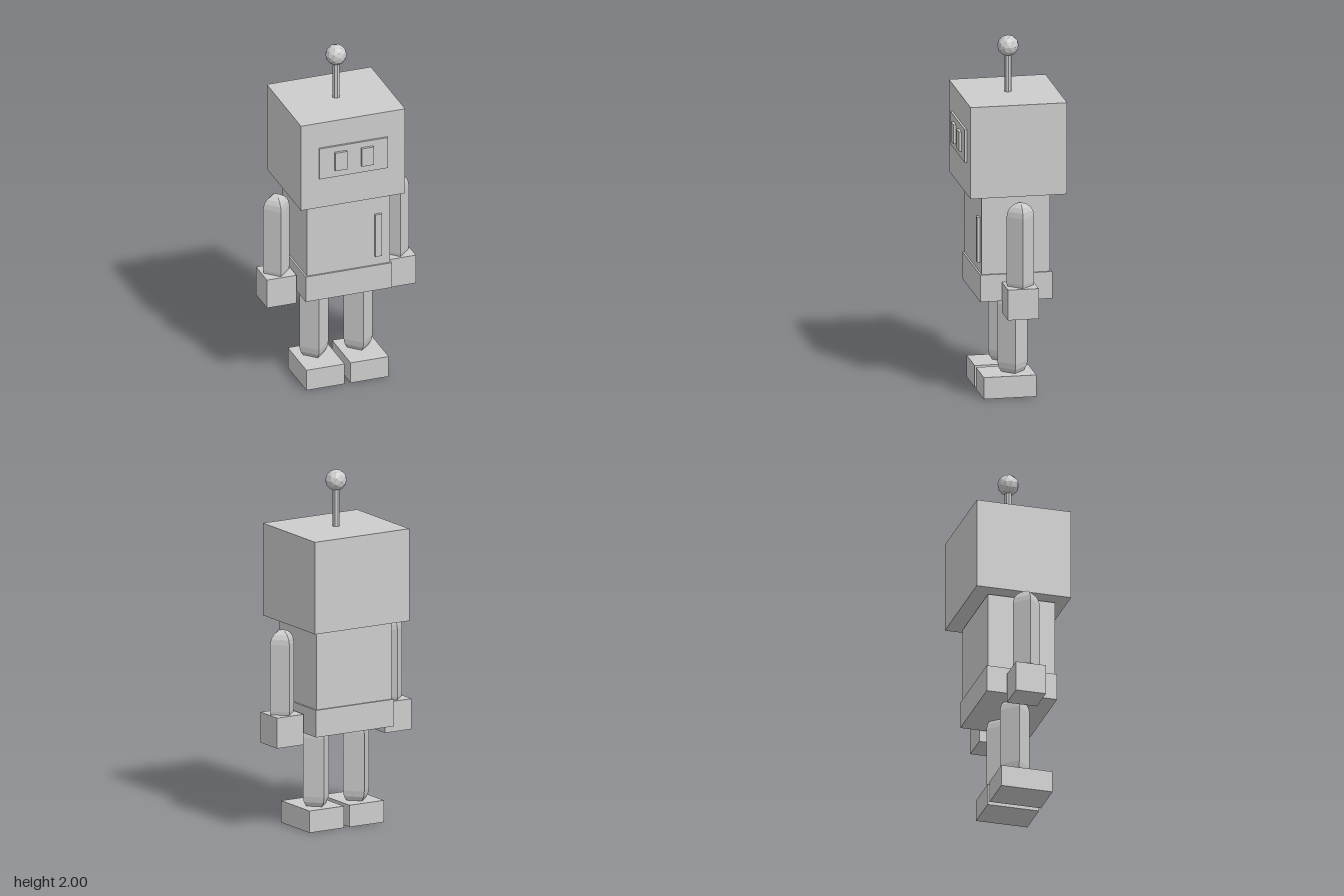
import * as THREE from 'three';

export function createModel() {
  const robot = new THREE.Group();
  robot.name = 'robot';
  const grey = new THREE.MeshStandardMaterial({ color: 0xcccccc, flatShading: true });
  grey.name = 'grey';

  const add = (name, geometry, x, y, z) => {
    const mesh = new THREE.Mesh(geometry, grey);
    mesh.name = name;
    mesh.position.set(x, y, z);
    robot.add(mesh);
  };
  // Box given by its extents on each axis
  const box = (name, [x0, x1], [y0, y1], [z0, z1]) =>
    add(name, new THREE.BoxGeometry(x1 - x0, y1 - y0, z1 - z0),
      (x0 + x1) / 2, (y0 + y1) / 2, (z0 + z1) / 2);
  // Four-sided capsule limb; y0 and y1 bound the straight shaft
  const limb = (name, radius, x, y0, y1, z) =>
    add(name, new THREE.CapsuleGeometry(radius, y1 - y0, 4, 4), x, (y0 + y1) / 2, z);

  // Head and face
  box('head', [-0.305, 0.305], [1.16, 1.68], [-0.285, 0.256]);
  box('facePanel', [-0.2, 0.2], [1.34, 1.527], [0.25, 0.268]);

  // Antenna
  add('antennaRod', new THREE.CylinderGeometry(0.02, 0.02, 0.24, 8), 0, 1.78, -0.014);
  add('antennaBall', new THREE.IcosahedronGeometry(0.06, 1), 0, 1.94, -0.014);

  // Body
  box('torso', [-0.243, 0.243], [0.71, 1.147], [-0.202, 0.181]);
  box('hips', [-0.253, 0.253], [0.557, 0.71], [-0.212, 0.191]);
  box('chestHandle', [0.153, 0.192], [0.765, 1.023], [0.175, 0.196]);

  // Mirrored parts
  for (const [side, s] of [['left', 1], ['right', -1]]) {
    const span = (a, b) => (s > 0 ? [a, b] : [-b, -a]);
    box(side + 'Eye', span(0.042, 0.113), [1.382, 1.492], [0.26, 0.283]);
    limb(side + 'Arm', 0.077, s * 0.35, 0.685, 1.062, -0.014);
    box(side + 'Hand', span(0.263, 0.436), [0.495, 0.667], [-0.1, 0.072]);
    limb(side + 'Leg', 0.085, s * 0.13, 0.18, 0.51, -0.014);
    box(side + 'Foot', span(0.018, 0.241), [0, 0.123], [-0.125, 0.169]);
  }
  return robot;
}
